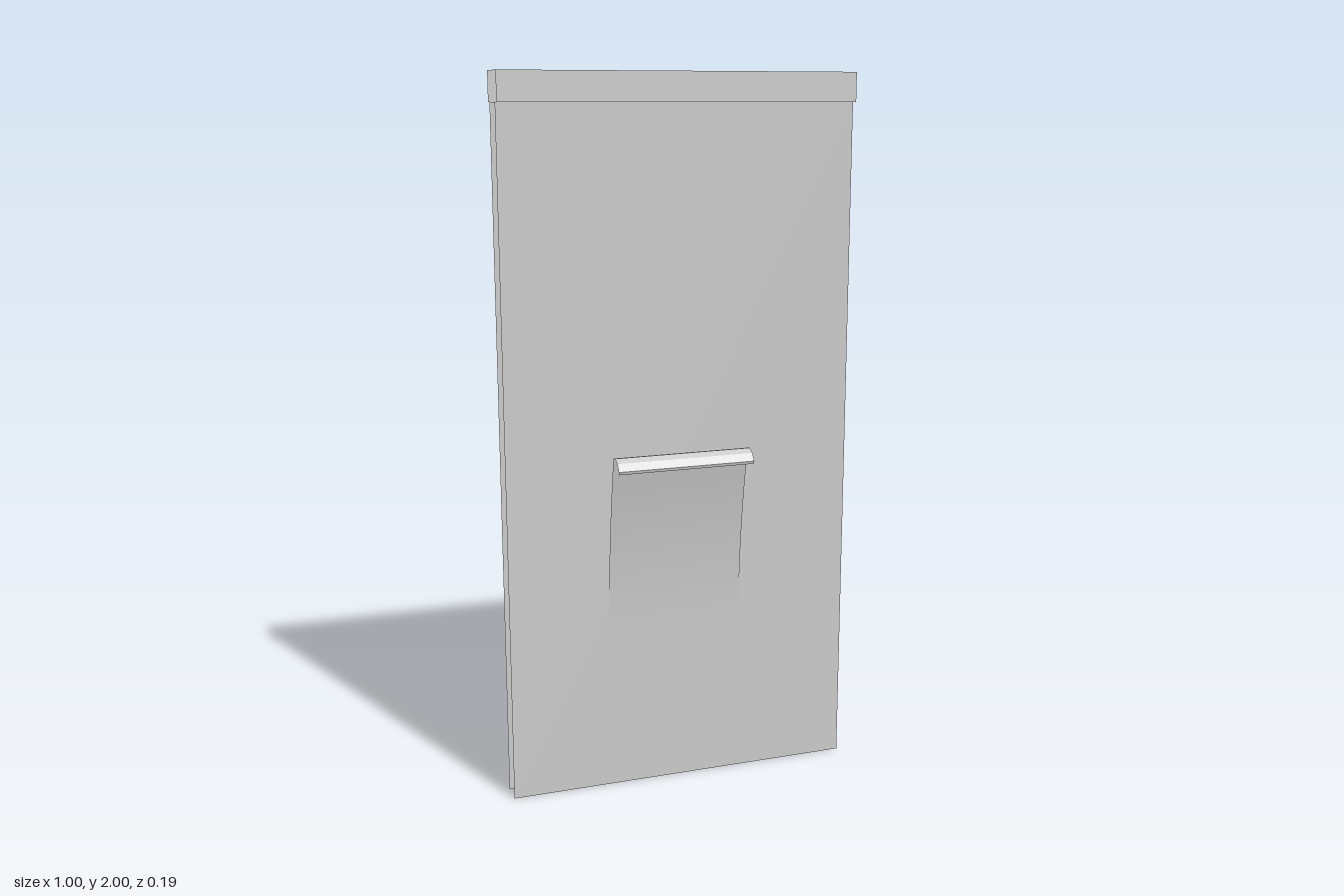
import * as THREE from 'three';

const material = (flat) => new THREE.MeshStandardMaterial({
  color: 0xcccccc, side: THREE.DoubleSide, flatShading: flat,
});

// Thin open sheet: a [z, y] profile swept along x from x0 to x1
function sheet(name, profile, x0, x1, smooth = false) {
  const positions = [], index = [];
  profile.forEach(([z, y], i) => {
    positions.push(x0, y, z, x1, y, z);
    if (i > 0) {
      const a = 2 * (i - 1);
      index.push(a, a + 1, a + 3, a, a + 3, a + 2);
    }
  });
  let geometry = new THREE.BufferGeometry();
  geometry.setAttribute('position', new THREE.Float32BufferAttribute(positions, 3));
  geometry.setIndex(index);
  if (!smooth) geometry = geometry.toNonIndexed();
  geometry.computeVertexNormals();
  const mesh = new THREE.Mesh(geometry, material(!smooth));
  mesh.name = name;
  return mesh;
}

export function createModel() {
  const group = new THREE.Group();
  group.name = 'doublePanel';

  const capFront = 0.004, capBack = -0.097, capBottom = 1.92;
  const panelFront = -0.016, panelBack = -0.079;

  // Two parallel panels with open sides
  group.add(sheet('frontPanel', [[panelFront, 0], [panelFront, capBottom]], -0.5, 0.5));
  group.add(sheet('backPanel', [[panelBack, 0], [panelBack, capBottom]], -0.5, 0.5));

  // Top channel, open at both ends, with lips turned in to the panels
  group.add(sheet('topCap', [
    [panelFront, capBottom], [capFront, capBottom], [capFront, 2],
    [capBack, 2], [capBack, capBottom], [panelBack, capBottom],
  ], -0.5, 0.5));

  // Handle: a sheet curving out of the front panel
  const left = -0.215, right = 0.175, steps = 16;
  const curve = [];
  for (let i = 0; i <= steps; i++) {
    const t = i / steps;
    curve.push([panelFront + 0.058 * t * t, 0.45 + 0.52 * t]);
  }
  group.add(sheet('handleSheet', curve, left, right, true));

  // Folded grip along the top of the handle
  group.add(sheet('handleGrip', [
    [0.042, 0.97], [0.044, 0.982], [0.06, 0.985], [0.08, 0.975],
    [0.094, 0.955], [0.092, 0.947], [0.08, 0.945],
  ], left, right));

  return group;
}
